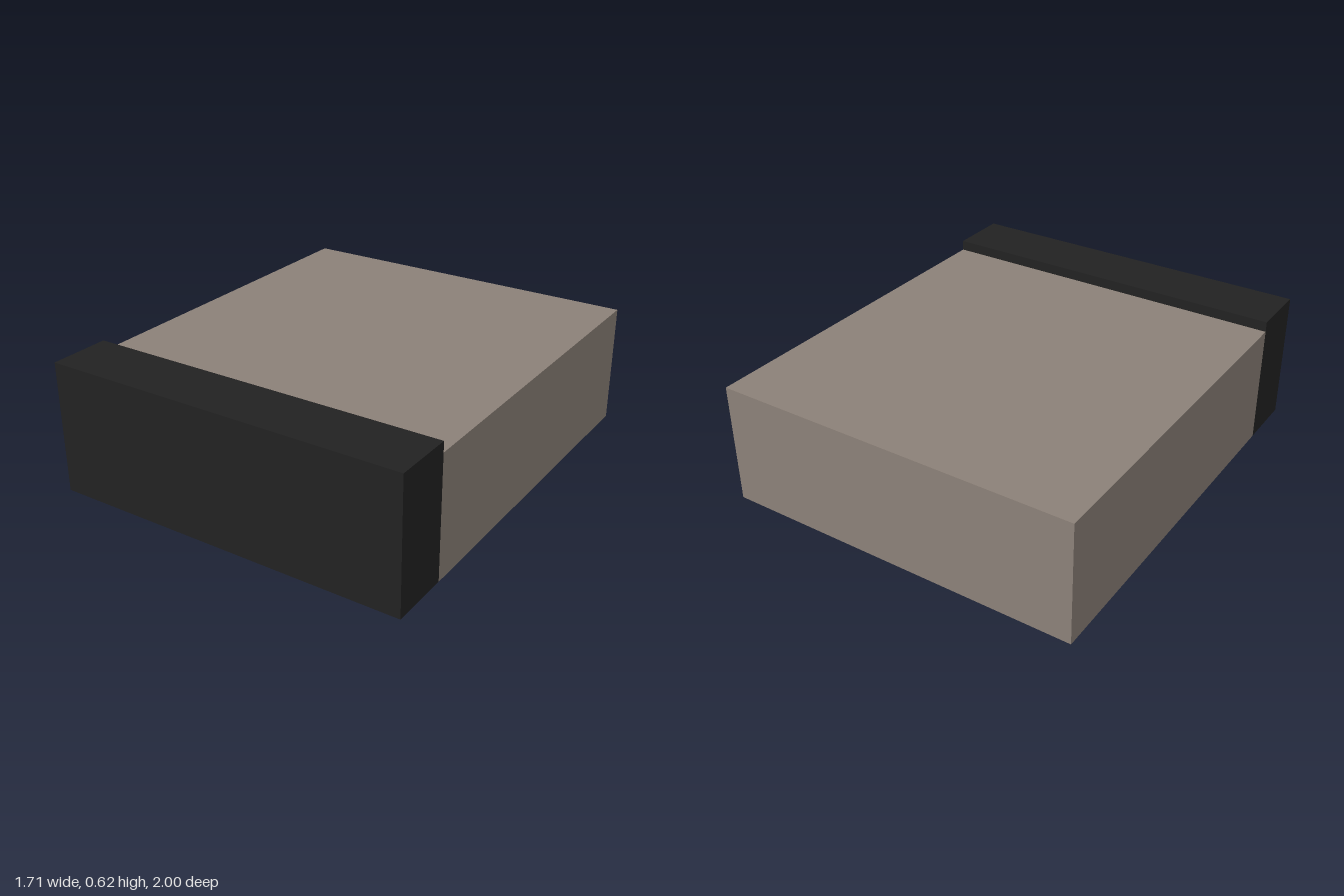
import * as THREE from 'three';

const WIDTH = 1.714;

export function createModel() {
  const model = new THREE.Group();
  model.name = 'model';

  const taupe = new THREE.MeshStandardMaterial({ color: 0x8d8279 });
  taupe.name = 'taupe';
  const black = new THREE.MeshStandardMaterial({ color: 0x222222 });
  black.name = 'black';

  // Full-width block standing on the ground between two z positions
  function block(name, material, height, zBack, zFront) {
    const mesh = new THREE.Mesh(
      new THREE.BoxGeometry(WIDTH, height, zFront - zBack), material);
    mesh.name = name;
    mesh.position.set(0, height / 2, (zBack + zFront) / 2);
    model.add(mesh);
  }

  // Main slab
  block('body', taupe, 0.571, -1, 0.714);
  // Slightly taller front panel
  block('frontPanel', black, 0.62, 0.714, 1);

  return model;
}
